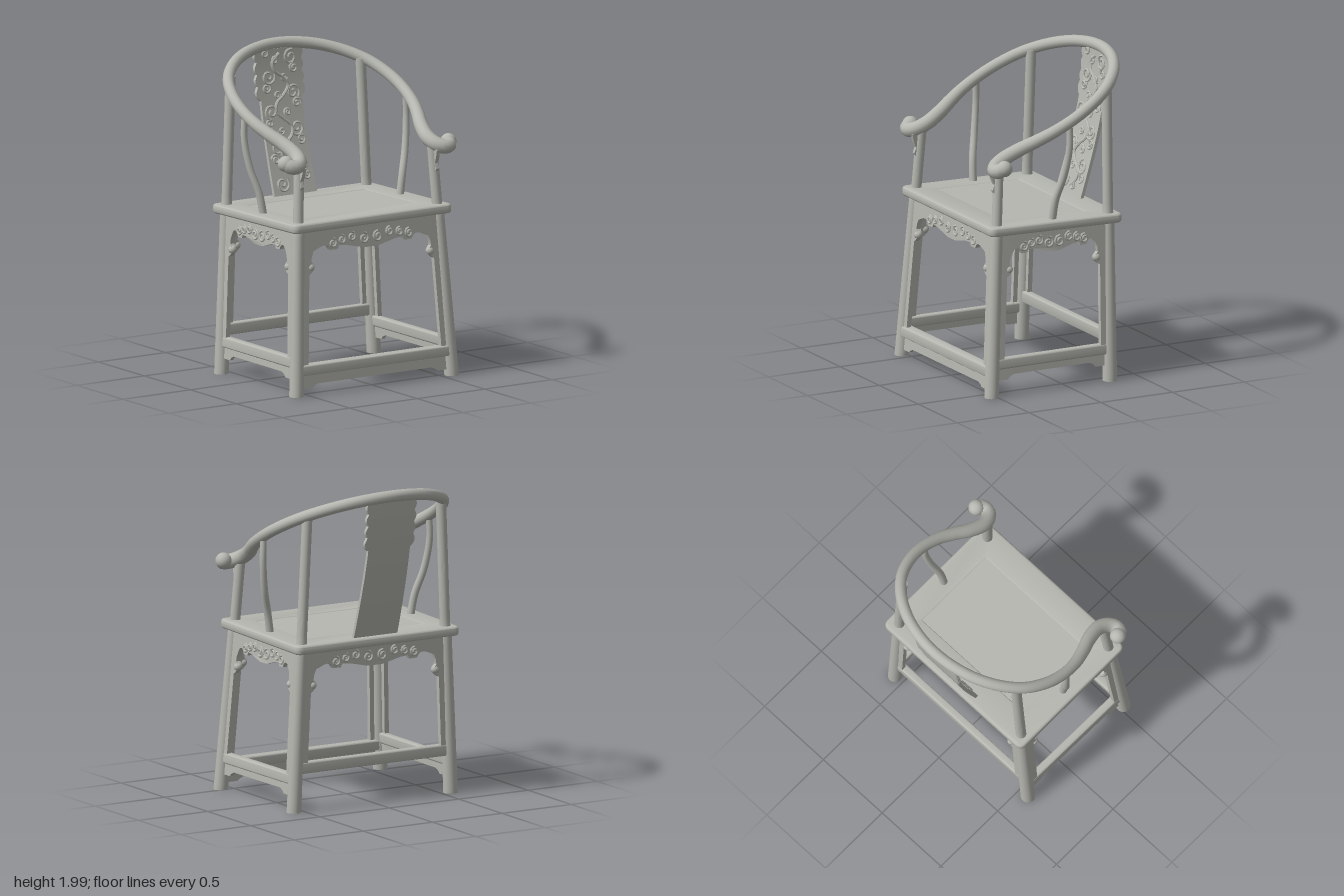
import * as THREE from 'three';
import { toCreasedNormals } from 'three/addons/utils/BufferGeometryUtils.js';

const V = (x, y, z) => new THREE.Vector3(x, y, z);
const wood = new THREE.MeshStandardMaterial({ color: 0xb6b7b0 });
wood.name = 'pale wood';

// Leg and post centre lines as functions of height
const frontLeg = side => y => V(side * (0.575 - 0.057 * y), y, 0.53 - 0.065 * y);
const backLeg = side => y => V(side * (0.565 - 0.045 * y), y, -0.3 - 0.012 * y);

// Moves every vertex of a geometry by a rule
function place(geo, rule) {
  const p = geo.attributes.position;
  for (let i = 0; i < p.count; i++) {
    const v = rule(p.getX(i), p.getY(i), p.getZ(i));
    p.setXYZ(i, v.x, v.y, v.z);
  }
  return toCreasedNormals(geo, 0.7);
}

// Sweeps a round section of varying radius along a smooth path
function sweep(points, radius, segments, sides = 14) {
  const curve = new THREE.CatmullRomCurve3(points);
  const geo = new THREE.TubeGeometry(curve, segments, 1, sides);
  const p = geo.attributes.position, v = V(0, 0, 0);
  for (let i = 0; i < p.count; i++) {
    const t = Math.floor(i / (sides + 1)) / segments;
    const c = curve.getPointAt(t);
    v.fromBufferAttribute(p, i).sub(c).multiplyScalar(radius(t)).add(c);
    p.setXYZ(i, v.x, v.y, v.z);
  }
  return geo;
}

// Flat board from an outline, with thickness centred on w
function board(points, thick, w = 0) {
  const shape = new THREE.Shape(points.map(([a, b]) => new THREE.Vector2(a, b)));
  const geo = new THREE.ExtrudeGeometry(shape, { depth: thick, bevelEnabled: false });
  return geo.translate(0, 0, w - thick / 2);
}

// Carved spiral lying on the plane w
function scroll(cx, cy, r, dir, start, w) {
  const pts = [];
  for (let i = 0; i <= 12; i++) {
    const t = i / 12, a = start + dir * t * 9, q = r * (1 - 0.8 * t);
    pts.push(V(cx + Math.cos(a) * q, cy + Math.sin(a) * q, w));
  }
  return new THREE.TubeGeometry(new THREE.CatmullRomCurve3(pts), 28, 0.008, 5);
}

const mirrorProfile = half => [...half, ...half.slice().reverse().map(([a, b]) => [-a, b])];

export function createModel() {
  const model = new THREE.Group();
  const add = (name, geo, parent = model) => {
    const mesh = new THREE.Mesh(geo, wood);
    mesh.name = name;
    parent.add(mesh);
    return mesh;
  };

  // Legs running through the seat into the posts
  function post(name, line, top) {
    const geo = new THREE.CylinderGeometry(1, 1, top, 18, 40).translate(0, top / 2, 0);
    add(name, place(geo, (x, y, z) => {
      const r = y < 1.03 ? 0.045 - 0.006 * y : 0.032;
      return line(y).add(V(x * r, 0, z * r));
    }));
  }
  for (const s of [1, -1]) {
    post('frontLeg', frontLeg(s), 1.45);
    post('backLeg', backLeg(s), 1.845);
  }

  // Seat frame with a recessed panel
  const seat = new THREE.Group();
  seat.name = 'seat';
  const rect = (x, z0, z1, r, S) => {
    const s = new S();
    s.moveTo(-x + r, -z1).lineTo(x - r, -z1).quadraticCurveTo(x, -z1, x, -z1 + r);
    s.lineTo(x, -z0 - r).quadraticCurveTo(x, -z0, x - r, -z0);
    s.lineTo(-x + r, -z0).quadraticCurveTo(-x, -z0, -x, -z0 - r);
    s.lineTo(-x, -z1 + r).quadraticCurveTo(-x, -z1, -x + r, -z1);
    return s;
  };
  const outline = rect(0.572, -0.445, 0.445, 0.03, THREE.Shape);
  outline.holes.push(rect(0.442, -0.287, 0.297, 0.004, THREE.Path));
  const frame = new THREE.ExtrudeGeometry(outline, {
    depth: 0.021, bevelThickness: 0.018, bevelSize: 0.016, bevelSegments: 5, curveSegments: 6,
  });
  add('seatFrame', toCreasedNormals(frame.rotateX(-Math.PI / 2), 0.6), seat);
  add('seatPanel', new THREE.BoxGeometry(0.865, 0.025, 0.565).translate(0, 0.021, 0.005), seat);
  seat.position.set(0, 1.021, 0.075);
  seat.rotation.x = -0.021;
  model.add(seat);

  // The four sides under the seat: legs a to b, facing n
  const sides = [
    { name: 'front', a: frontLeg(-1), b: frontLeg(1), n: V(0, 0, 1), h: 0.53, bar: [0.125, 0.19], skirt: [0.065, 0.04] },
    { name: 'left', a: frontLeg(1), b: backLeg(1), n: V(1, 0, 0), h: 0.39, bar: [0.17, 0.237], skirt: [0.13, 0.1] },
    { name: 'back', a: backLeg(1), b: backLeg(-1), n: V(0, 0, -1), h: 0.53, bar: [0.237, 0.31] },
    { name: 'right', a: backLeg(-1), b: frontLeg(-1), n: V(-1, 0, 0), h: 0.39, bar: [0.17, 0.237], skirt: [0.13, 0.1] },
  ];
  for (const { name, a, b, n, h, bar, skirt } of sides) {
    const rule = (u, y, w) => a(y).lerp(b(y), (u / h + 1) / 2).addScaledVector(n, w);

    // Apron with scalloped edge, spandrel bumps and strips down the legs
    const low = bar[1] - 0.01;
    const half = [
      [h, 1.02], [h, low], [h - 0.068, low], [h - 0.07, 0.74], [h - 0.085, 0.75], [h - 0.103, 0.77],
      [h - 0.103, 0.8], [h - 0.085, 0.82], [h - 0.088, 0.85], [h - 0.102, 0.885],
      [h * 0.7, 0.908], [h * 0.64, 0.912], [h * 0.6, 0.9], [h * 0.575, 0.878], [h * 0.47, 0.878],
      [h * 0.45, 0.9], [h * 0.35, 0.896], [h * 0.2, 0.878], [h * 0.1, 0.866],
    ];
    add(name + 'Apron', place(board(mirrorProfile(half), 0.03, 0.008), rule));

    // Apron carving
    for (const s of [1, -1]) {
      for (const [f, y, r] of [[0.1, 0.925, 0.036], [0.27, 0.945, 0.03], [0.41, 0.935, 0.028], [0.54, 0.92, 0.03]]) {
        add(name + 'ApronScroll', place(scroll(s * f * h, y, r, s, 1.5, 0.023), rule));
      }
      const knob = new THREE.SphereGeometry(0.026, 12, 8).translate(s * (h - 0.088), 0.785, 0.008);
      add(name + 'SpandrelKnob', place(knob, rule));
    }

    // Foot rail and the skirt beneath it
    const thick = name === 'front' ? 0.07 : 0.05;
    const [y0, y1] = bar, e = 0.012;
    const rail = new THREE.Shape();
    rail.moveTo(-thick / 2 + e, y0).lineTo(thick / 2 - e, y0).quadraticCurveTo(thick / 2, y0, thick / 2, y0 + e);
    rail.lineTo(thick / 2, y1 - e).quadraticCurveTo(thick / 2, y1, thick / 2 - e, y1);
    rail.lineTo(-thick / 2 + e, y1).quadraticCurveTo(-thick / 2, y1, -thick / 2, y1 - e);
    rail.lineTo(-thick / 2, y0 + e).quadraticCurveTo(-thick / 2, y0, -thick / 2 + e, y0);
    const railGeo = new THREE.ExtrudeGeometry(rail, { depth: 2 * h, bevelEnabled: false, curveSegments: 4 });
    railGeo.translate(0, 0, -h).rotateY(Math.PI / 2);
    add(name + 'Rail', place(railGeo, rule));
    if (skirt) {
      const [mid, end] = skirt;
      const edge = [[h, y0 + 0.01], [h, end], [h - 0.1, end], [h - 0.115, mid - 0.012], [h - 0.14, mid]];
      add(name + 'Skirt', place(board(mirrorProfile(edge), 0.024), rule));
    }
  }

  // Curved arm and crest rail with outward scrolled ends
  const armHalf = [
    [0.602, 0.45], [0.59, 0.482], [0.55, 0.493], [0.508, 0.465], [0.487, 0.4], [0.508, 0.3], [0.55, 0.2], [0.583, 0.1],
    [0.597, -0.03], [0.578, -0.16], [0.52, -0.29], [0.415, -0.4], [0.28, -0.48], [0.14, -0.523],
  ];
  const armPoint = ([x, z]) => V(x, 1.434 + (0.476 - z) * 0.517, z);
  const armPath = [...armHalf, [0, -0.537], ...armHalf.slice().reverse().map(([x, z]) => [-x, z])].map(armPoint);
  const armRadius = t => 0.036 + 0.01 * THREE.MathUtils.smoothstep(Math.abs(t - 0.5), 0.28, 0.45);
  add('armRail', sweep(armPath, armRadius, 160));
  for (const s of [1, -1]) {
    const end = armPoint([s * 0.602, 0.455]);
    add('armScroll', new THREE.SphereGeometry(0.05, 20, 14).translate(end.x, end.y, end.z));

    // Bent side spindle
    const spindle = [[0.505, 1.04, 0.07], [0.53, 1.18, 0.06], [0.575, 1.34, 0.025], [0.6, 1.52, 0], [0.597, 1.68, 0]];
    add('sideSpindle', sweep(spindle.map(([x, y, z]) => V(s * x, y, z)), t => 0.024 - 0.004 * t, 24));

    // Small bracket between front post and arm
    const bracket = board([
      [0.44, 1.22], [0.458, 1.225], [0.472, 1.26], [0.487, 1.29], [0.476, 1.325],
      [0.492, 1.36], [0.505, 1.41], [0.43, 1.44],
    ], 0.024);
    add('armBracket', place(bracket, (u, y, w) => V(frontLeg(s)(y).x - w, y, u)));
  }

  // Curved back splat with scalloped shoulders
  const splatRule = (x, y, w) => V(x, y, -0.332 - 0.191 * Math.sin((y - 1.06) / 0.87 * 1.45) + w);
  const splatHalf = y => y < 1.63 ? 0.157 - 0.012 * (y - 1.05)
    : 0.163 + 0.016 * Math.abs(Math.sin((y - 1.63) / 0.075 * Math.PI));
  const splat = new THREE.BoxGeometry(2, 0.89, 0.022, 1, 72, 1).translate(0, 1.485, 0);
  add('backSplat', place(splat, (x, y, w) => splatRule(x * splatHalf(y), y, w)));

  // Splat carving: a winding stem with scrolls on both sides
  const stem = [];
  for (let i = 0; i <= 16; i++) stem.push(V(0.055 * Math.sin(i * 1.18), 1.1 + i * 0.05, 0.012));
  add('splatStem', place(new THREE.TubeGeometry(new THREE.CatmullRomCurve3(stem), 90, 0.011, 6), splatRule));
  for (let i = 0; i < 8; i++) {
    const y = 1.12 + i * 0.107, s = i % 2 ? 1 : -1;
    add('splatScroll', place(scroll(s * 0.085, y, 0.05, s, 0.6 + i, 0.012), splatRule));
    add('splatScroll', place(scroll(-s * 0.105, y + 0.04, 0.032, -s, 2 + i, 0.012), splatRule));
    add('splatScroll', place(scroll(-s * 0.03, y - 0.01, 0.026, s, i, 0.012), splatRule));
  }
  return model;
}
